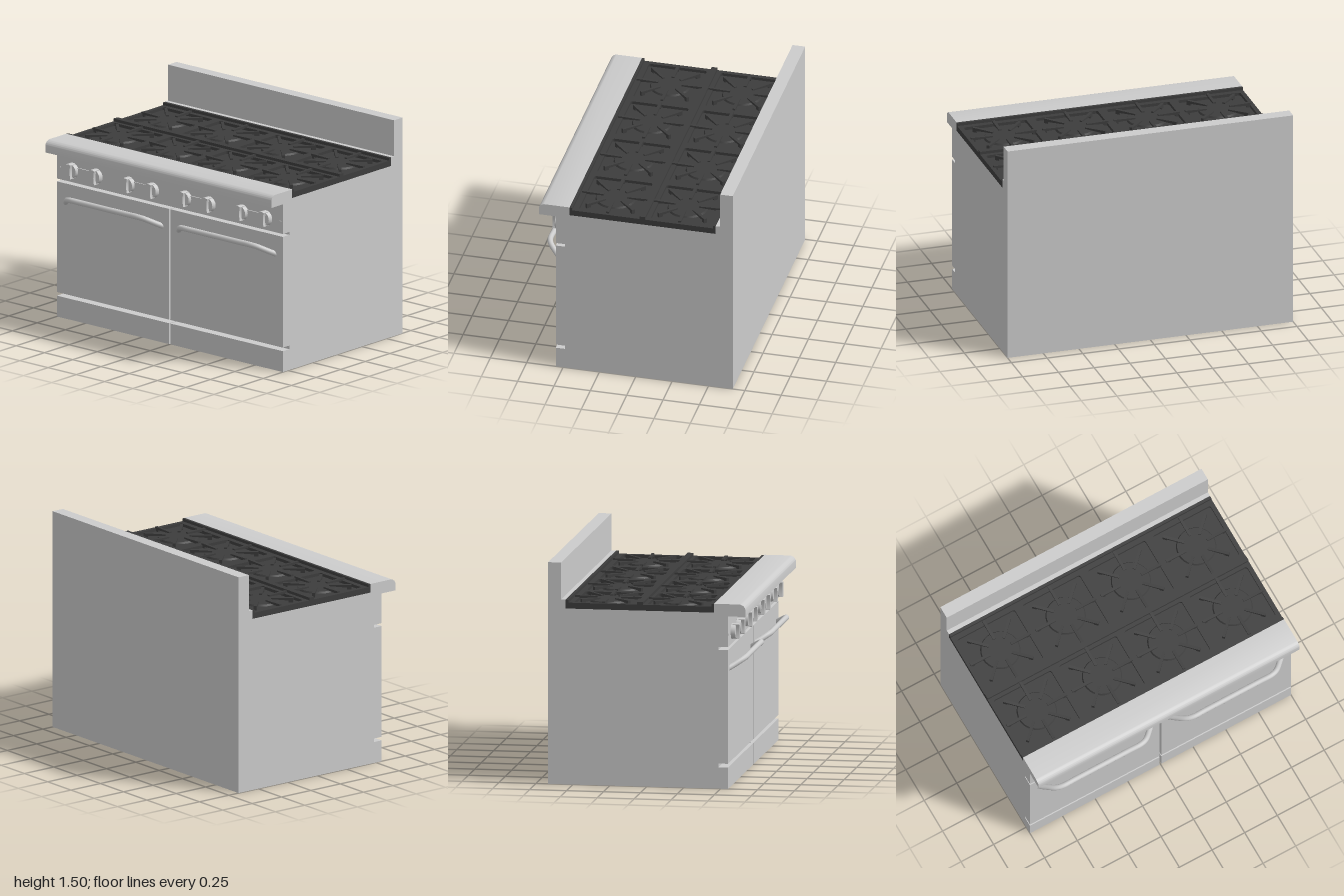
import * as THREE from 'three';
import { toCreasedNormals } from 'three/addons/utils/BufferGeometryUtils.js';

const steel = new THREE.MeshStandardMaterial({ color: 0xcccccc });
const iron = new THREE.MeshStandardMaterial({ color: 0x3d3d3d });

function add(parent, name, geometry, material, x = 0, y = 0, z = 0) {
  const mesh = new THREE.Mesh(geometry, material);
  mesh.name = name;
  mesh.position.set(x, y, z);
  parent.add(mesh);
  return mesh;
}

// Box given by its lower and upper corners
function block(parent, name, material, [x0, y0, z0], [x1, y1, z1]) {
  return add(parent, name, new THREE.BoxGeometry(x1 - x0, y1 - y0, z1 - z0), material,
    (x0 + x1) / 2, (y0 + y1) / 2, (z0 + z1) / 2);
}

// Side profile in (z, y), swept over the full width
function sweepWidth(shape) {
  const g = new THREE.ExtrudeGeometry(shape, { depth: 2, bevelEnabled: false, curveSegments: 8 });
  g.rotateY(-Math.PI / 2).translate(1, 0, 0);
  return toCreasedNormals(g, 0.6);
}

function roundedRect(path, cx, cy, w, h, r) {
  const x = w / 2 - r, y = h / 2 - r;
  path.absarc(cx + x, cy + y, r, 0, Math.PI / 2);
  path.absarc(cx - x, cy + y, r, Math.PI / 2, Math.PI);
  path.absarc(cx - x, cy - y, r, Math.PI, Math.PI * 1.5);
  path.absarc(cx + x, cy - y, r, Math.PI * 1.5, Math.PI * 2);
  path.closePath();
  return path;
}

// Grate finger: thick at the outer end, thinner at the tip, lying along +x
function fingerGeometry(inner, outer) {
  const s = new THREE.Shape([[inner, 1.229], [outer - 0.03, 1.223], [outer - 0.03, 1.205], [outer, 1.205],
    [outer, 1.242], [inner, 1.238]].map(p => new THREE.Vector2(...p)));
  const g = new THREE.ExtrudeGeometry(s, { depth: 0.02, bevelEnabled: false });
  return g.translate(0, 0, -0.01);
}

function makeBurner() {
  const burner = new THREE.Group();
  burner.name = 'burner';
  add(burner, 'burnerBowl', new THREE.CylinderGeometry(0.128, 0.135, 0.012, 32), iron, 0, 1.216, 0);
  const finger = fingerGeometry(0.08, 0.23);
  for (let i = 0; i < 8; i++) add(burner, 'grateFinger', finger, iron).rotation.y = i * Math.PI / 4;
  return burner;
}

function makeKnob() {
  const knob = new THREE.Group();
  knob.name = 'knob';
  const disc = new THREE.CylinderGeometry(0.048, 0.052, 0.03, 20).rotateX(Math.PI / 2);
  add(knob, 'knobDisc', toCreasedNormals(disc, 0.6), steel, 0, 0, 0.015);
  // Waisted finger grip
  const s = new THREE.Shape();
  s.moveTo(-0.022, -0.048);
  s.quadraticCurveTo(0, -0.058, 0.022, -0.048);
  s.quadraticCurveTo(0.008, 0, 0.022, 0.048);
  s.quadraticCurveTo(0, 0.058, -0.022, 0.048);
  s.quadraticCurveTo(-0.008, 0, -0.022, -0.048);
  const grip = new THREE.ExtrudeGeometry(s, { depth: 0.053, bevelEnabled: false, curveSegments: 8 });
  add(knob, 'knobGrip', toCreasedNormals(grip, 0.6), steel);
  return knob;
}

export function createModel() {
  const range = new THREE.Group();
  range.name = 'kitchenRange';

  // Cabinet with rear ledge and backsplash
  const body = new THREE.Shape([[-0.667, 0], [0.485, 0], [0.485, 1.19], [-0.55, 1.19], [-0.55, 1.25],
    [-0.58, 1.25], [-0.58, 1.5], [-0.667, 1.5]].map(p => new THREE.Vector2(...p)));
  add(range, 'cabinet', sweepWidth(body), steel);

  // Control panel with rounded front rail
  const rail = new THREE.Shape();
  rail.moveTo(0.485, 0.96);
  rail.lineTo(0.55, 0.96);
  rail.lineTo(0.55, 1.167);
  rail.lineTo(0.667, 1.167);
  rail.lineTo(0.667, 1.218);
  rail.quadraticCurveTo(0.66, 1.243, 0.63, 1.25);
  rail.lineTo(0.455, 1.25);
  rail.lineTo(0.455, 1.19);
  rail.lineTo(0.485, 1.19);
  add(range, 'controlPanel', sweepWidth(rail), steel);

  // Doors, kick panels and bent handles on both sides
  for (const s of [-1, 1]) {
    const [a, b] = s < 0 ? [-1, -0.006] : [0.006, 1];
    block(range, 'ovenDoor', steel, [a, 0.17, 0.485], [b, 0.94, 0.55]);
    block(range, 'kickPanel', steel, [a, 0, 0.485], [b, 0.145, 0.55]);

    const points = [[-0.43, 0.805, 0.538], [-0.405, 0.82, 0.565], [-0.345, 0.855, 0.622], [-0.30, 0.864, 0.637],
      [-0.2, 0.864, 0.637], [0, 0.864, 0.637], [0.2, 0.864, 0.637], [0.30, 0.864, 0.637],
      [0.345, 0.855, 0.622], [0.405, 0.82, 0.565], [0.43, 0.805, 0.538]];
    const curve = new THREE.CatmullRomCurve3(points.map(p => new THREE.Vector3(...p)));
    add(range, 'doorHandle', new THREE.TubeGeometry(curve, 64, 0.019, 14), steel, s * 0.5);

    // Small marker at each end of the control panel
    const marker = new THREE.CylinderGeometry(0.012, 0.012, 0.006, 3).rotateX(Math.PI / 2).rotateZ(s * Math.PI / 2);
    add(range, 'panelMarker', marker, steel, s * 0.975, 1.043, 0.55);
  }

  // Four pairs of knobs joined by a plate
  for (const x of [-0.75, -0.25, 0.25, 0.75]) {
    block(range, 'knobPlate', steel, [x - 0.105, 1.02, 0.545], [x + 0.105, 1.07, 0.558]);
    for (const s of [-1, 1]) {
      const knob = makeKnob();
      knob.position.set(x + s * 0.105, 1.045, 0.552);
      range.add(knob);
    }
  }

  // Cooktop: floor, frame with recessed openings, raised ribs
  const cooktop = new THREE.Group();
  cooktop.name = 'cooktop';
  range.add(cooktop);
  block(cooktop, 'cooktopFloor', iron, [-1, 1.19, -0.55], [1, 1.21, 0.455]);
  const frame = new THREE.Shape([[-1, -0.455], [1, -0.455], [1, 0.55], [-1, 0.55]].map(p => new THREE.Vector2(...p)));
  for (const x of [-0.75, -0.25, 0.25, 0.75]) {
    for (const z of [-0.295, 0.2]) {
      frame.holes.push(roundedRect(new THREE.Path(), x, -z, 0.44, 0.4, 0.015));
      const burner = makeBurner();
      burner.position.set(x, 0, z);
      cooktop.add(burner);
    }
  }
  const frameGeometry = new THREE.ExtrudeGeometry(frame, { depth: 0.02, bevelEnabled: false, curveSegments: 4 });
  add(cooktop, 'cooktopFrame', frameGeometry.rotateX(-Math.PI / 2), iron, 0, 1.21, 0);
  for (const [z0, z1] of [[-0.55, -0.53], [-0.065, -0.025], [0.437, 0.455]])
    block(cooktop, 'cooktopRib', iron, [-1, 1.21, z0], [1, 1.249, z1]);

  return range;
}
